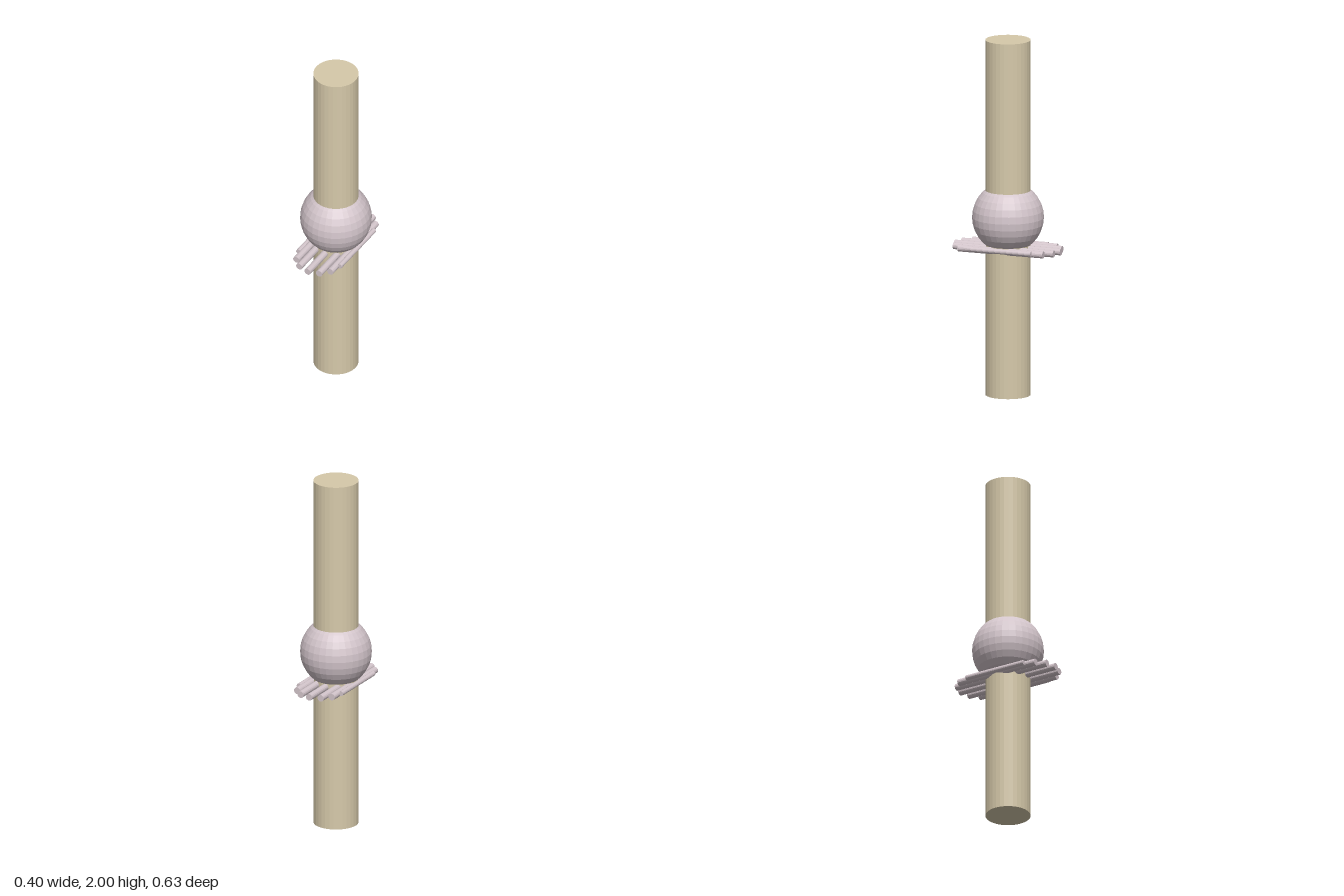
import * as THREE from 'three';

export function createModel() {
  const model = new THREE.Group();
  const wood = new THREE.MeshStandardMaterial({ color: 0xd6c9aa, flatShading: true });
  wood.name = 'pale wood';
  const mauve = new THREE.MeshStandardMaterial({ color: 0xd3c5cb, flatShading: true });
  mauve.name = 'pale mauve';

  const add = (name, geometry, material, x, y, z) => {
    const mesh = new THREE.Mesh(geometry, material);
    mesh.name = name;
    mesh.position.set(x, y, z);
    model.add(mesh);
  };

  // Upright pole with the ball threaded on its middle
  add('pole', new THREE.CylinderGeometry(0.125, 0.125, 2, 32), wood, 0, 1, 0);
  add('ball', new THREE.SphereGeometry(0.198, 32, 16), mauve, 0, 1, 0);

  // Row of rods running front to back under the ball: x, length, radius, y
  const rods = [
    [0, 0.626, 0.0195, 0.828],
    [0.063, 0.591, 0.0195, 0.828],
    [0.108, 0.501, 0.0195, 0.828],
    [0.131, 0.374, 0.0145, 0.832],
  ];
  for (const [x, length, radius, y] of rods) {
    for (const side of x === 0 ? [1] : [1, -1]) {
      const geometry = new THREE.CylinderGeometry(radius, radius, length, 16).rotateX(Math.PI / 2);
      add('rod', geometry, mauve, side * x, y, 0);
    }
  }
  return model;
}
